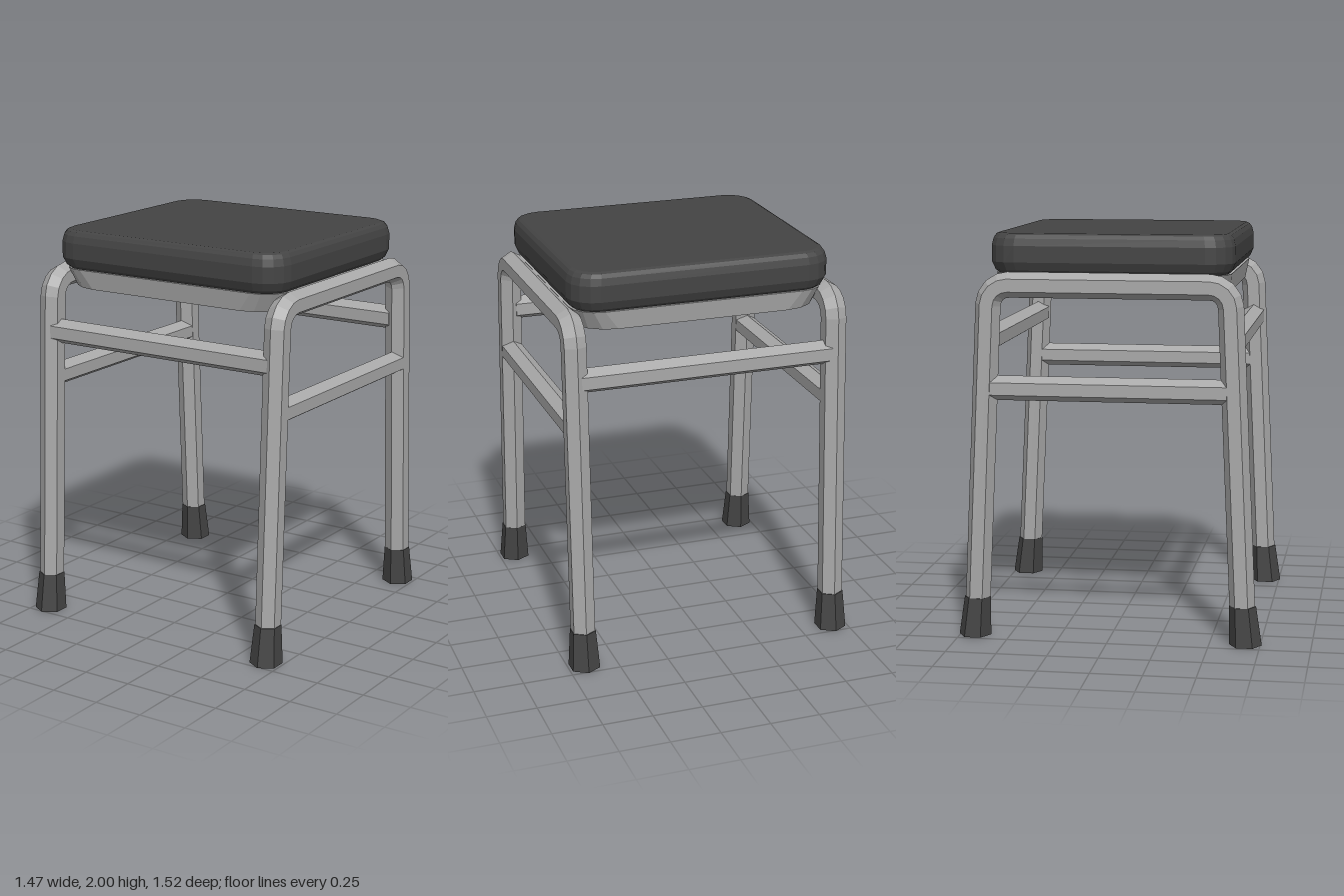
import * as THREE from 'three';

const V = (x, y, z) => new THREE.Vector3(x, y, z);

// Skin a row of equal-sized cross-sections (counterclockwise about the travel direction) and cap both ends
function loft(rings) {
  const pos = [];
  const tri = (...pts) => pts.forEach(p => pos.push(p.x, p.y, p.z));
  const n = rings[0].length;
  for (let i = 0; i < rings.length - 1; i++) {
    for (let j = 0; j < n; j++) {
      const k = (j + 1) % n;
      const a = rings[i][j], b = rings[i][k], c = rings[i + 1][k], d = rings[i + 1][j];
      tri(a, b, c);
      tri(a, c, d);
    }
  }
  const first = rings[0], last = rings[rings.length - 1];
  for (let j = 1; j < n - 1; j++) {
    tri(first[0], first[j + 1], first[j]);
    tri(last[0], last[j], last[j + 1]);
  }
  const g = new THREE.BufferGeometry();
  g.setAttribute('position', new THREE.Float32BufferAttribute(pos, 3));
  g.computeVertexNormals();
  return g;
}

// Horizontal rounded rectangle at height y
function roundedRing(hx, hz, r, y, steps = 4) {
  const ring = [];
  for (let q = 0; q < 4; q++) {
    const sx = q < 2 ? 1 : -1, sz = q === 0 || q === 3 ? 1 : -1;
    for (let s = 0; s <= steps; s++) {
      const t = (q + s / steps) * Math.PI / 2;
      ring.push(V(sx * (hx - r) + r * Math.sin(t), y, sz * (hz - r) + r * Math.cos(t)));
    }
  }
  return ring;
}

// Hexagon with points along n and flats facing x
function hexRing(p, n, r) {
  return Array.from({ length: 6 }, (_, i) => {
    const t = i * Math.PI / 3;
    return p.clone().addScaledVector(n, r * Math.cos(t)).add(V(r * Math.sin(t), 0, 0));
  });
}

// Bent six-sided tube: front leg, top rail and back leg in one
function legFrame() {
  const half = [V(0, 0.15, 0.662)];
  for (const deg of [3, 25, 47, 69, 90]) {
    const a = THREE.MathUtils.degToRad(deg);
    half.push(V(0, 1.65 + 0.103 * Math.sin(a), 0.49 + 0.103 * Math.cos(a)));
  }
  const path = [...half, ...half.map(p => V(0, p.y, -p.z)).reverse()];
  return loft(path.map((p, i) => {
    const a = path[Math.max(i - 1, 0)], b = path[Math.min(i + 1, path.length - 1)];
    const t = p.clone().sub(a).normalize().add(b.clone().sub(p).normalize()).normalize();
    return hexRing(p, V(1, 0, 0).cross(t), 0.063);
  }));
}

export function createModel() {
  const group = new THREE.Group();
  group.name = 'stool';
  const mat = (name, color) => {
    const m = new THREE.MeshStandardMaterial({ color, flatShading: true });
    m.name = name;
    return m;
  };
  const metal = mat('grey metal', 0xa9a9a9);
  const dark = mat('dark vinyl and rubber', 0x444444);
  const add = (name, geometry, material, x = 0, y = 0, z = 0) => {
    const m = new THREE.Mesh(geometry, material);
    m.name = name;
    m.position.set(x, y, z);
    group.add(m);
  };

  // Cushion: rows of height, inset from the widest outline
  const rows = [[1.8, 0.04], [1.82, 0.017], [1.86, 0], [1.94, 0], [1.975, 0.009], [1.993, 0.022], [2, 0.038]];
  add('cushion', loft(rows.map(([y, d]) => roundedRing(0.663 - d, 0.6 - d, 0.135 - d * 0.6, y))), dark);

  // Pan under the cushion
  add('seatPan', loft([roundedRing(0.625, 0.565, 0.19, 1.71), roundedRing(0.645, 0.58, 0.14, 1.805)]), metal);

  // Leg frames, crossbars and feet
  const frame = legFrame();
  const sideBar = new THREE.CylinderGeometry(0.061, 0.061, 1.17, 6).rotateX(Math.PI / 2);
  const endBar = new THREE.CylinderGeometry(0.0625, 0.0625, 1.29, 6).rotateY(Math.PI / 2).rotateZ(Math.PI / 2);
  const foot = s => loft([
    hexRing(V(0, 0, s * 0.677), V(0, 0, 1), 0.081),
    hexRing(V(0, 0.195, s * 0.662), V(0, 0, 1), 0.066),
  ]);
  for (const s of [1, -1]) {
    const side = s > 0 ? 'left' : 'right';
    add(side + 'LegFrame', frame, metal, s * 0.667);
    add(side + 'Crossbar', sideBar, metal, s * 0.667, 1.248);
    add(s > 0 ? 'frontCrossbar' : 'backCrossbar', endBar, metal, 0, 1.483, s * 0.597);
    add(side + 'FrontFoot', foot(1), dark, s * 0.667);
    add(side + 'BackFoot', foot(-1), dark, s * 0.667);
  }
  return group;
}
